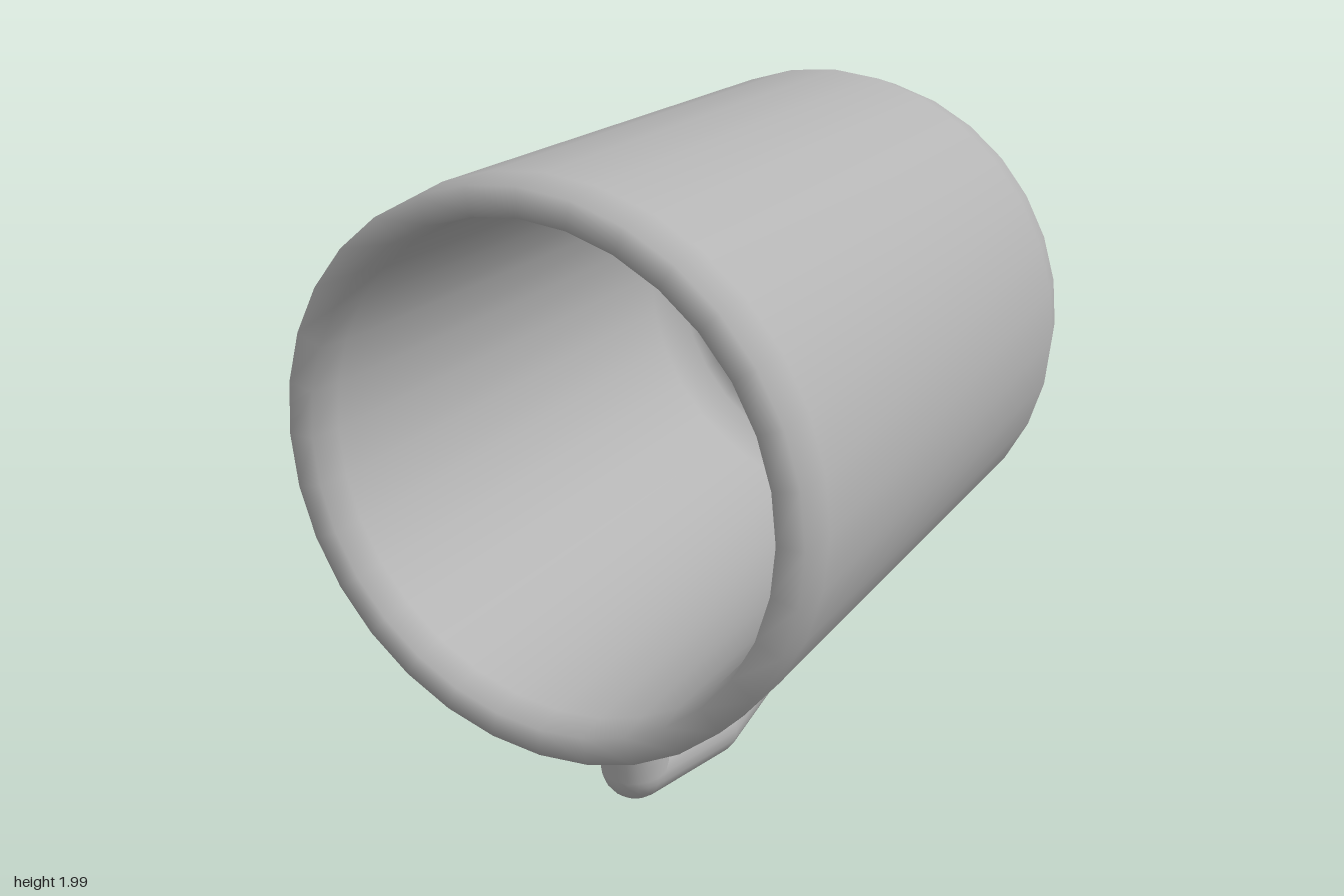
import * as THREE from 'three';

const grey = new THREE.MeshStandardMaterial({ color: 0xb4b4b4 });
grey.name = 'grey';

export function createModel() {
  const model = new THREE.Group();
  model.name = 'mug';

  // Hollow body lying on its side: outer wall, rim, inner wall, floor
  const profile = [
    [0, -0.96], [0.6, -0.96], [0.635, -0.96], [0.7, -0.895], [0.745, -0.74],
    [0.765, 0.85], [0.755, 0.96], [0.68, 0.96], [0.667, 0.87],
    [0.65, -0.72], [0.6, -0.83], [0.54, -0.86], [0, -0.86],
  ].map(([r, z]) => new THREE.Vector2(r, z));
  const body = new THREE.Mesh(new THREE.LatheGeometry(profile, 32), grey);
  body.name = 'body';
  body.rotation.x = Math.PI / 2;
  body.position.y = 1.235;
  model.add(body);

  // Handle: straight round bars meeting at ball joints
  const handle = new THREE.Group();
  handle.name = 'handle';
  const radius = 0.1;
  const path = [[0.52, 0.53], [0.488, 0.195], [0.06, 0.106], [-0.395, 0.215], [-0.46, 0.53]]
    .map(([z, y]) => new THREE.Vector3(0, y, z));
  const up = new THREE.Vector3(0, 1, 0);
  for (let i = 0; i < path.length - 1; i++) {
    const along = path[i + 1].clone().sub(path[i]);
    const bar = new THREE.Mesh(
      new THREE.CylinderGeometry(radius, radius, along.length(), 20, 1, true), grey);
    bar.name = 'handleBar';
    bar.position.copy(path[i]).addScaledVector(along, 0.5);
    bar.quaternion.setFromUnitVectors(up, along.clone().normalize());
    handle.add(bar);
    if (i > 0) {
      const joint = new THREE.Mesh(new THREE.SphereGeometry(radius, 20, 12), grey);
      joint.name = 'handleJoint';
      joint.position.copy(path[i]);
      handle.add(joint);
    }
  }
  model.add(handle);
  return model;
}
